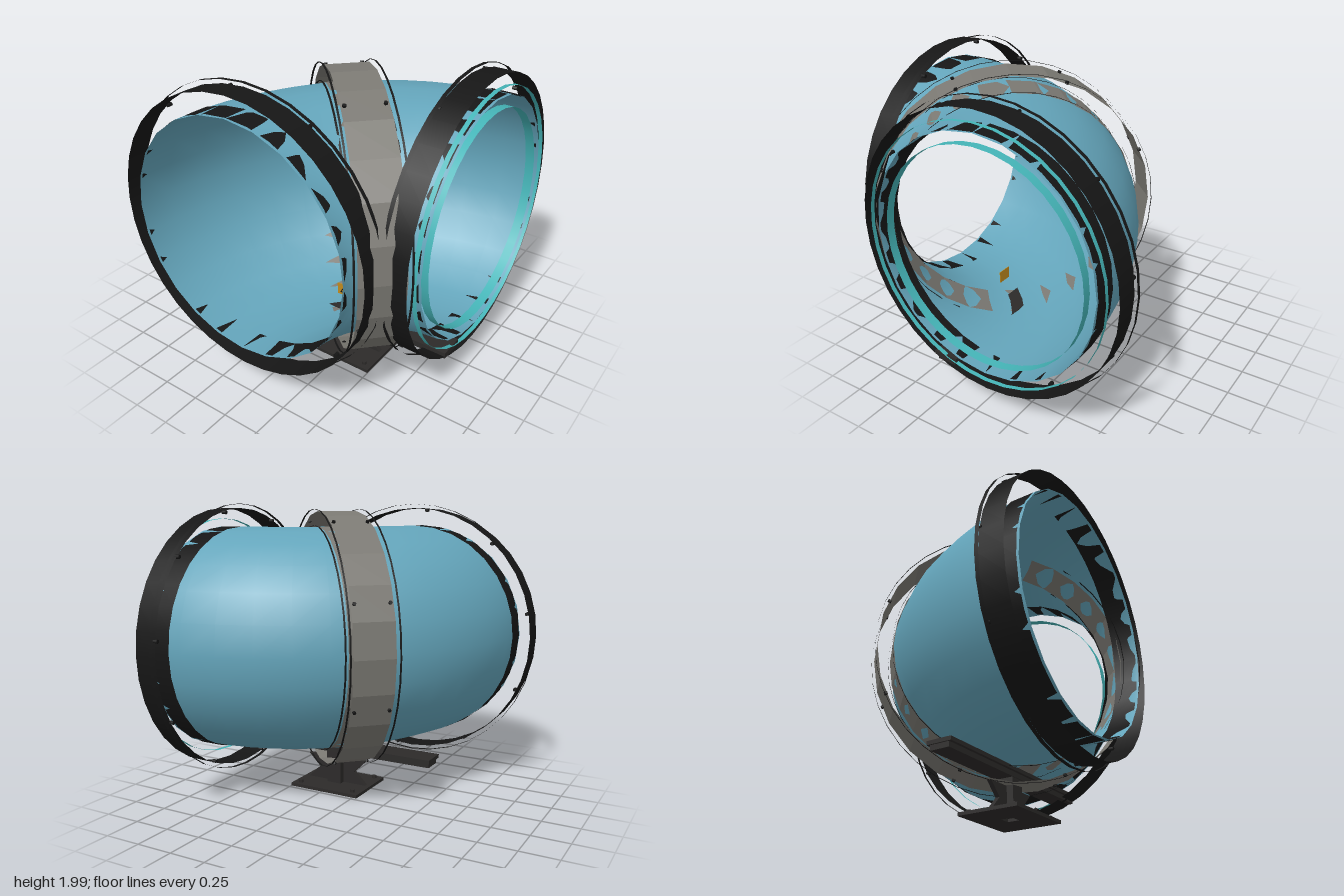
import * as THREE from 'three';

const CY = 1.07;      // height of the pipe axis
const END = 0.985;    // where the pipe mouths lie, also the centre of the bend
const BEND = 1.06;    // bend radius of the pipe axis
const PIPE = 0.765;   // pipe radius
const MID = END - BEND * Math.SQRT1_2; // x and z of the middle of the bend

const paint = (color, flatShading = false) =>
  new THREE.MeshStandardMaterial({ color, flatShading, side: THREE.DoubleSide });

const black = paint(0x161616);
const dark = paint(0x2c2a29, true);
const blue = paint(0x64a5bb);
const grey = paint(0x7c7a74, true);
const teal = paint(0x45b5b8);
const amber = paint(0xc08a1c);

function add(parent, name, geometry, material, x = 0, y = 0, z = 0) {
  const mesh = new THREE.Mesh(geometry, material);
  mesh.name = name;
  mesh.position.set(x, y, z);
  parent.add(mesh);
  return mesh;
}

// Open hoop around the local z axis, from z0 to z1
function hoop(parent, name, radius, z0, z1, material, sides = 36) {
  const g = new THREE.CylinderGeometry(radius, radius, z1 - z0, sides, 1, true);
  g.rotateX(Math.PI / 2);
  return add(parent, name, g, material, 0, 0, (z0 + z1) / 2);
}

// Flange collar with its lip and ring of bolts, axis along local z
function makeFlange(name, boltOffset) {
  const flange = new THREE.Group();
  flange.name = name;
  hoop(flange, 'flangeOuterWall', 0.89, 0.815, 0.97, black);
  hoop(flange, 'flangeInnerWall', PIPE, 0.82, 0.97, black, 32);
  hoop(flange, 'flangeLip', 0.92, 0.81, 0.835, black);
  for (let i = 0; i < 10; i++) {
    const a = THREE.MathUtils.degToRad(boltOffset + 36 * i);
    const bolt = new THREE.CylinderGeometry(0.013, 0.013, 0.03, 6);
    bolt.rotateX(Math.PI / 2);
    add(flange, 'flangeBolt', bolt, black, 0.88 * Math.cos(a), 0.88 * Math.sin(a), 0.815);
  }
  return flange;
}

// Clamp band round the middle of the bend, axis along local z
function makeBand() {
  const band = new THREE.Group();
  band.name = 'clampBand';
  hoop(band, 'bandOuterWall', 0.87, -0.135, 0.135, grey, 24);
  hoop(band, 'bandInnerWall', PIPE, -0.135, 0.135, grey, 28);
  for (const side of [-1, 1]) {
    const z = side * 0.157;
    hoop(band, 'bandOuterRim', 0.885, z - 0.006, z + 0.006, black);
    hoop(band, 'bandInnerRim', 0.775, z - 0.006, z + 0.006, black);
    for (let i = 0; i < 8; i++) {
      const a = (i + 0.5) * Math.PI / 4;
      const bolt = new THREE.CylinderGeometry(0.012, 0.012, 0.02, 6);
      bolt.rotateZ(a - Math.PI / 2);
      add(band, 'bandBolt', bolt, black, 0.867 * Math.cos(a), 0.867 * Math.sin(a), side * 0.113);
    }
  }
  return band;
}

// Foot plate, post, waisted gussets and the rail they carry
function makeStand() {
  const stand = new THREE.Group();
  stand.name = 'stand';
  stand.position.set(MID, 0, MID);

  const plate = new THREE.Shape([[-0.265, -0.21], [0.265, -0.21], [0.265, 0.21], [-0.265, 0.21]]
    .map(([x, y]) => new THREE.Vector2(x, y)));
  plate.holes.push(new THREE.Path([[-0.04, -0.04], [-0.04, 0.04], [0.04, 0.04], [0.04, -0.04]]
    .map(([x, y]) => new THREE.Vector2(x, y))));
  const plateGeometry = new THREE.ExtrudeGeometry(plate, { depth: 0.022, bevelEnabled: false });
  plateGeometry.rotateX(-Math.PI / 2);
  add(stand, 'footPlate', plateGeometry, dark);

  add(stand, 'post', new THREE.BoxGeometry(0.11, 0.24, 0.12), dark, 0, 0.14, 0);

  const gusset = new THREE.Shape([
    [-0.23, 0.022], [0.23, 0.022], [0.14, 0.11], [0.23, 0.2], [-0.23, 0.2], [-0.14, 0.11],
  ].map(([x, y]) => new THREE.Vector2(x, y)));
  const gussetGeometry = new THREE.ExtrudeGeometry(gusset, { depth: 0.03, bevelEnabled: false });
  add(stand, 'gusset', gussetGeometry, dark, 0, 0, -0.015);

  const railX = 0.235 - MID;
  add(stand, 'rail', new THREE.BoxGeometry(1.47, 0.04, 0.13), dark, railX, 0.272, 0);
  add(stand, 'railCap', new THREE.BoxGeometry(1.49, 0.025, 0.17), dark, railX, 0.298, 0);

  for (const x of [-0.21, 0.21]) {
    for (const z of [-0.165, 0.165]) {
      add(stand, 'footBolt', new THREE.CylinderGeometry(0.016, 0.016, 0.025, 6), dark, x, 0.03, z);
    }
  }
  return stand;
}

export function createModel() {
  const model = new THREE.Group();
  model.name = 'pipeElbow';

  // Quarter bend from the front mouth to the left mouth
  const bend = new THREE.TorusGeometry(BEND, PIPE, 24, 12, Math.PI / 2);
  bend.rotateX(-Math.PI / 2);
  bend.rotateY(Math.PI / 2);
  add(model, 'bentPipe', bend, blue, END, CY, END);

  const front = makeFlange('frontFlange', 24.7);
  front.position.set(END - BEND, CY, 0);

  // The left mouth also carries a sealing ring
  const left = makeFlange('leftFlange', 6.5);
  left.position.set(0, CY, END - BEND);
  left.rotation.y = Math.PI / 2;
  hoop(left, 'sealOuterWall', 0.82, 0.96, 0.988, teal);
  hoop(left, 'sealInnerWall', 0.69, 0.93, 0.988, teal);

  const band = makeBand();
  band.position.set(MID, CY, MID);
  band.rotation.y = -Math.PI / 4;

  model.add(front, left, band, makeStand());

  // Warning plate with a triangle outline
  const sign = new THREE.Group();
  sign.name = 'warningPlate';
  sign.position.set(MID, 0.48, 0.33);
  add(sign, 'signPanel', new THREE.BoxGeometry(0.1, 0.08, 0.004), amber);
  const triangle = new THREE.RingGeometry(0.02, 0.034, 3, 1, Math.PI / 2);
  add(sign, 'signTriangle', triangle, black, 0, -0.006, 0.004);
  model.add(sign);

  return model;
}
